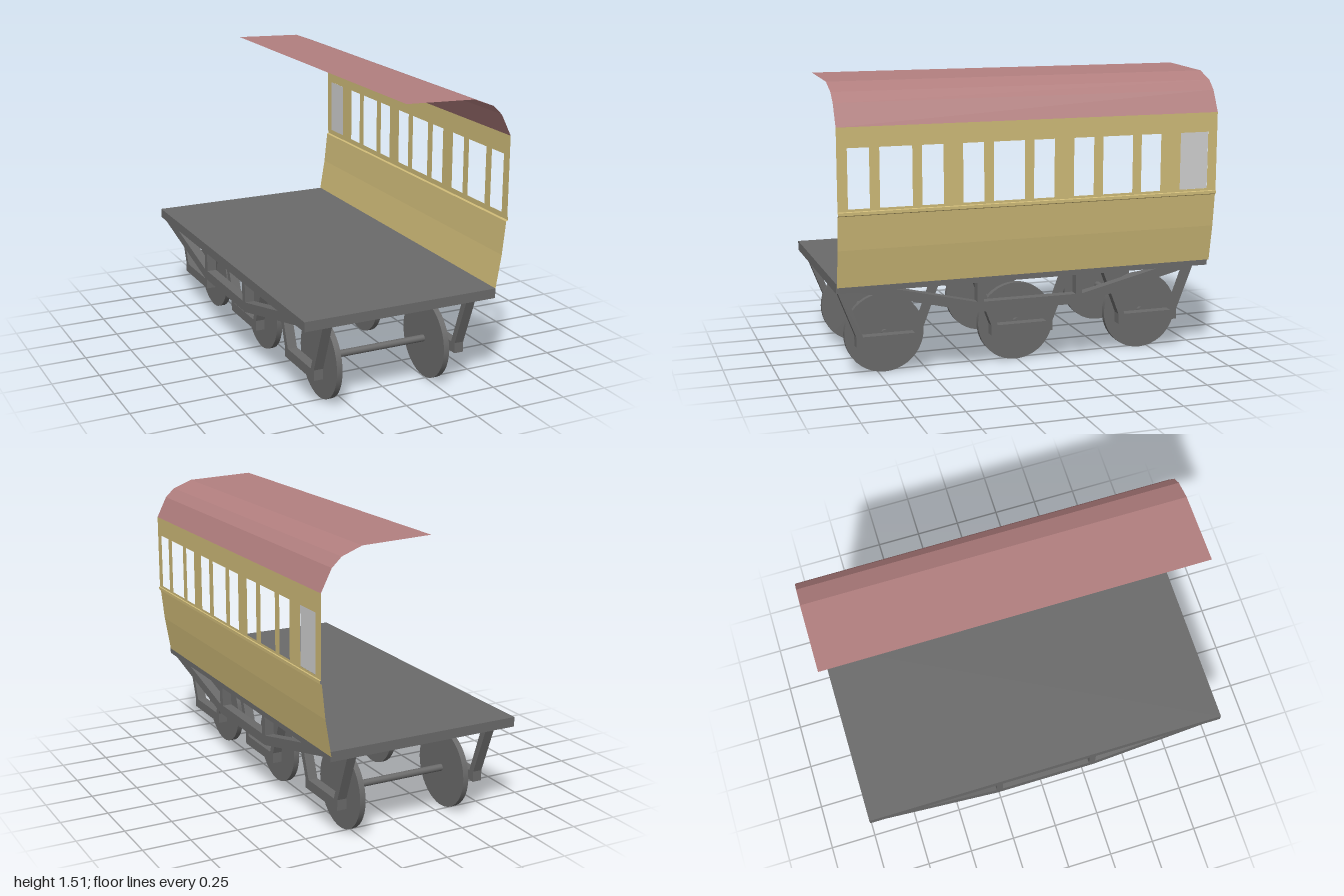
import * as THREE from 'three';

const mat = (name, color, extra = {}) => new THREE.MeshStandardMaterial({ name, color, ...extra });

export function createModel() {
  const chassisGrey = mat('chassisGrey', 0x6a6a6a);
  const bodyCream = mat('bodyCream', 0xcdb977, { side: THREE.DoubleSide, flatShading: true });
  const roofRed = mat('roofRed', 0xb27f7f, { side: THREE.DoubleSide, flatShading: true });
  const glassGrey = mat('glassGrey', 0xcecece, { side: THREE.DoubleSide });

  const model = new THREE.Group();
  model.name = 'railwayCarriage';
  const add = (name, geometry, material, x = 0, y = 0, z = 0) => {
    const mesh = new THREE.Mesh(geometry, material);
    mesh.name = name;
    mesh.position.set(x, y, z);
    model.add(mesh);
    return mesh;
  };

  const MID = -0.03;           // centre line of the chassis
  const FRONT = 0.995, BACK = -1;

  // Thin sheet: an (x, y) profile swept from front to back
  const sheet = (profile) => {
    const pos = [];
    for (let i = 0; i < profile.length - 1; i++) {
      const [x0, y0] = profile[i], [x1, y1] = profile[i + 1];
      pos.push(x0, y0, FRONT, x0, y0, BACK, x1, y1, BACK);
      pos.push(x0, y0, FRONT, x1, y1, BACK, x1, y1, FRONT);
    }
    const g = new THREE.BufferGeometry();
    g.setAttribute('position', new THREE.Float32BufferAttribute(pos, 3));
    g.computeVertexNormals();
    return g;
  };

  // Flat side plate drawn in (-z, y), with thickness along x
  const sidePlate = (points, depth) => {
    const shape = new THREE.Shape(points.map(([u, v]) => new THREE.Vector2(u, v)));
    const g = new THREE.ExtrudeGeometry(shape, { depth, bevelEnabled: false });
    g.translate(0, 0, -depth / 2);
    return g.rotateY(Math.PI / 2);
  };

  // Floor
  add('floor', new THREE.BoxGeometry(1.04, 0.05, 1.99), chassisGrey, MID, 0.507, 0.005);

  // Lower side wall with waist moulding
  add('lowerWall', sheet([[0.49, 0.51], [0.522, 0.7], [0.54, 0.87], [0.55, 0.875],
    [0.55, 0.89], [0.545, 0.893]]), bodyCream);

  // Upper side wall with window openings
  const rect = (path, u0, u1, v0, v1) => {
    path.moveTo(u0, v0);
    path.lineTo(u1, v0);
    path.lineTo(u1, v1);
    path.lineTo(u0, v1);
    path.closePath();
    return path;
  };
  const upper = rect(new THREE.Shape(), -FRONT, -BACK, 0.89, 1.3);
  const openings = [];
  for (const start of [-0.944, -0.37, 0.209]) {
    openings.push([start, start + 0.107], [start + 0.157, start + 0.319], [start + 0.367, start + 0.475]);
  }
  openings.push([0.794, 0.949]);
  openings.forEach(([a, b]) => upper.holes.push(rect(new THREE.Path(), a, b, 0.905, 1.2)));
  add('windowWall', new THREE.ShapeGeometry(upper).rotateY(Math.PI / 2), bodyCream, 0.545);

  // Glazed pane in the rearmost opening
  add('frostedPane', new THREE.PlaneGeometry(0.155, 0.295).rotateY(Math.PI / 2), glassGrey,
    0.544, 1.0525, -0.8715);

  // Half roof, from eave to centre line
  add('roof', sheet([[0.545, 1.3], [0.49, 1.41], [0.44, 1.457], [0.335, 1.497], [MID, 1.51]]), roofRed);

  // Truss frames under both edges of the floor
  const trussOutline = [[-0.917, 0.485], [-0.28, 0.33], [0.28, 0.33], [0.917, 0.485],
    [0.71, 0.485], [0.28, 0.382], [-0.28, 0.382], [-0.71, 0.485]];
  for (const side of [-1, 1]) {
    const x = MID + side * 0.495;
    add('trussFrame', sidePlate(trussOutline, 0.05), chassisGrey, x);
    for (const z of [-0.265, 0.265]) {
      add('trussPost', new THREE.BoxGeometry(0.05, 0.11, 0.035), chassisGrey, x, 0.432, z);
    }
  }

  // Wheel sets with axle guards
  const guardOutline = [[-0.268, 0.485], [-0.168, 0.225], [-0.168, 0.17], [0.168, 0.17],
    [0.168, 0.225], [0.268, 0.485], [0.23, 0.485], [0.133, 0.222], [-0.133, 0.222], [-0.23, 0.485]];
  const wheelGeo = new THREE.CylinderGeometry(0.207, 0.207, 0.03, 40).rotateZ(Math.PI / 2);
  const axleGeo = new THREE.CylinderGeometry(0.018, 0.018, 0.655, 16).rotateZ(Math.PI / 2);
  const guardGeo = sidePlate(guardOutline, 0.05);
  for (const z of [0.715, 0.008, -0.7]) {
    add('axle', axleGeo, chassisGrey, MID, 0.207, z);
    for (const side of [-1, 1]) {
      add('wheel', wheelGeo, chassisGrey, MID + side * 0.297, 0.207, z);
      add('axleGuard', guardGeo, chassisGrey, MID + side * 0.392, 0, z);
    }
  }

  return model;
}
